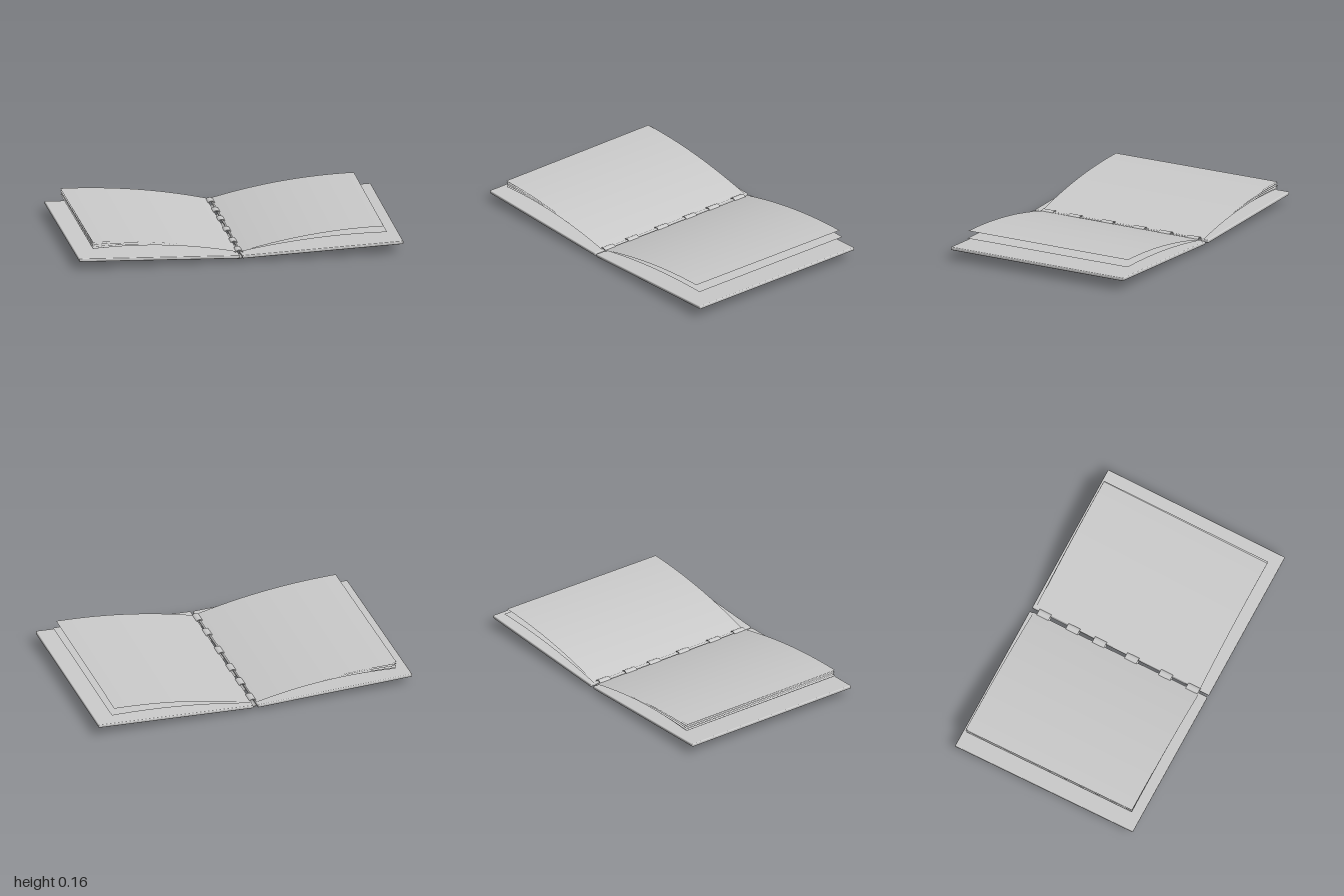
import * as THREE from 'three';
import { RoundedBoxGeometry } from 'three/addons/geometries/RoundedBoxGeometry.js';

const grey = new THREE.MeshStandardMaterial({ color: 0xcccccc });
const paper = new THREE.MeshStandardMaterial({ color: 0xcccccc, side: THREE.DoubleSide });

// Rigid cover board, hinged at the spine and tilted up towards its outer edge
function cover(name, side, tilt, yaw, z) {
  const board = new THREE.Mesh(new RoundedBoxGeometry(0.985, 0.02, 1.205, 2, 0.006), grey);
  board.name = name;
  board.position.set(side * 0.4925, 0, 0);
  const hinge = new THREE.Group();
  hinge.name = name + 'Hinge';
  hinge.add(board);
  hinge.position.set(side * 0.01, 0.033, z);
  hinge.rotation.set(0, yaw, side * tilt, 'YZX');
  return hinge;
}

// One sheet of paper, bowed along a curve from the spine to its outer edge
function sheet(name, side, endX, ctrlY, endY, zBack, zFront, yaw) {
  const curve = new THREE.QuadraticBezierCurve(
    new THREE.Vector2(0.012, 0.048),
    new THREE.Vector2(endX / 2, ctrlY),
    new THREE.Vector2(endX, endY)
  );
  const geo = new THREE.PlaneGeometry(1, zFront - zBack, 24, 1);
  geo.rotateX(-Math.PI / 2);
  const pos = geo.attributes.position;
  for (let i = 0; i < pos.count; i++) {
    const t = pos.getX(i) + 0.5;
    const p = curve.getPoint(side > 0 ? t : 1 - t);
    pos.setXY(i, side * p.x, p.y);
  }
  geo.computeVertexNormals();
  const mesh = new THREE.Mesh(geo, paper);
  mesh.name = name;
  mesh.position.z = (zBack + zFront) / 2;
  mesh.rotation.y = yaw;
  return mesh;
}

export function createModel() {
  const model = new THREE.Group();
  model.name = 'openRingNotebook';

  // Covers
  const leftCover = cover('leftCover', 1, 0.042, 0, -0.006);
  const rightCover = cover('rightCover', -1, 0.032, 0.01, -0.008);
  model.add(leftCover, rightCover);

  // Thin label panel on the underside of one cover
  const label = new THREE.Mesh(new THREE.BoxGeometry(0.63, 0.002, 0.32), grey);
  label.name = 'labelPanel';
  label.position.set(0.44, -0.0105, 0.376);
  leftCover.add(label);

  // Fanned stack of turned pages
  const stack = new THREE.Group();
  stack.name = 'turnedPages';
  const count = 10;
  for (let i = 0; i < count; i++) {
    const f = i / (count - 1);
    const shift = 0.003 * Math.sin(i * 2.3);
    stack.add(sheet('turnedPage' + (i + 1), -1, 0.9 + shift, 0.146 + 0.01 * f,
      0.115 + 0.043 * f, -0.582 + shift, 0.538 + shift, 0.008 + shift));
  }
  model.add(stack);

  // Two loose pages on the other side
  const loose = new THREE.Group();
  loose.name = 'remainingPages';
  loose.add(
    sheet('lowerPage', 1, 0.905, 0.13, 0.125, -0.588, 0.53, 0.001),
    sheet('upperPage', 1, 0.885, 0.161, 0.165, -0.584, 0.533, -0.003)
  );
  model.add(loose);

  // Binding rings: wide bands wrapped around the spine
  const band = new THREE.Shape().absarc(0, 0, 0.029, 0, Math.PI * 2, false);
  band.holes.push(new THREE.Path().absarc(0, 0, 0.024, 0, Math.PI * 2, true));
  const ringGeo = new THREE.ExtrudeGeometry(band, { depth: 0.08, bevelEnabled: false, curveSegments: 16 });
  ringGeo.translate(0, 0, -0.04);
  [0.494, 0.308, 0.078, -0.142, -0.323, -0.52].forEach((z, i) => {
    const ring = new THREE.Mesh(ringGeo, grey);
    ring.name = 'bindingRing' + (i + 1);
    ring.position.set(0, 0.03, z);
    model.add(ring);
  });

  return model;
}
